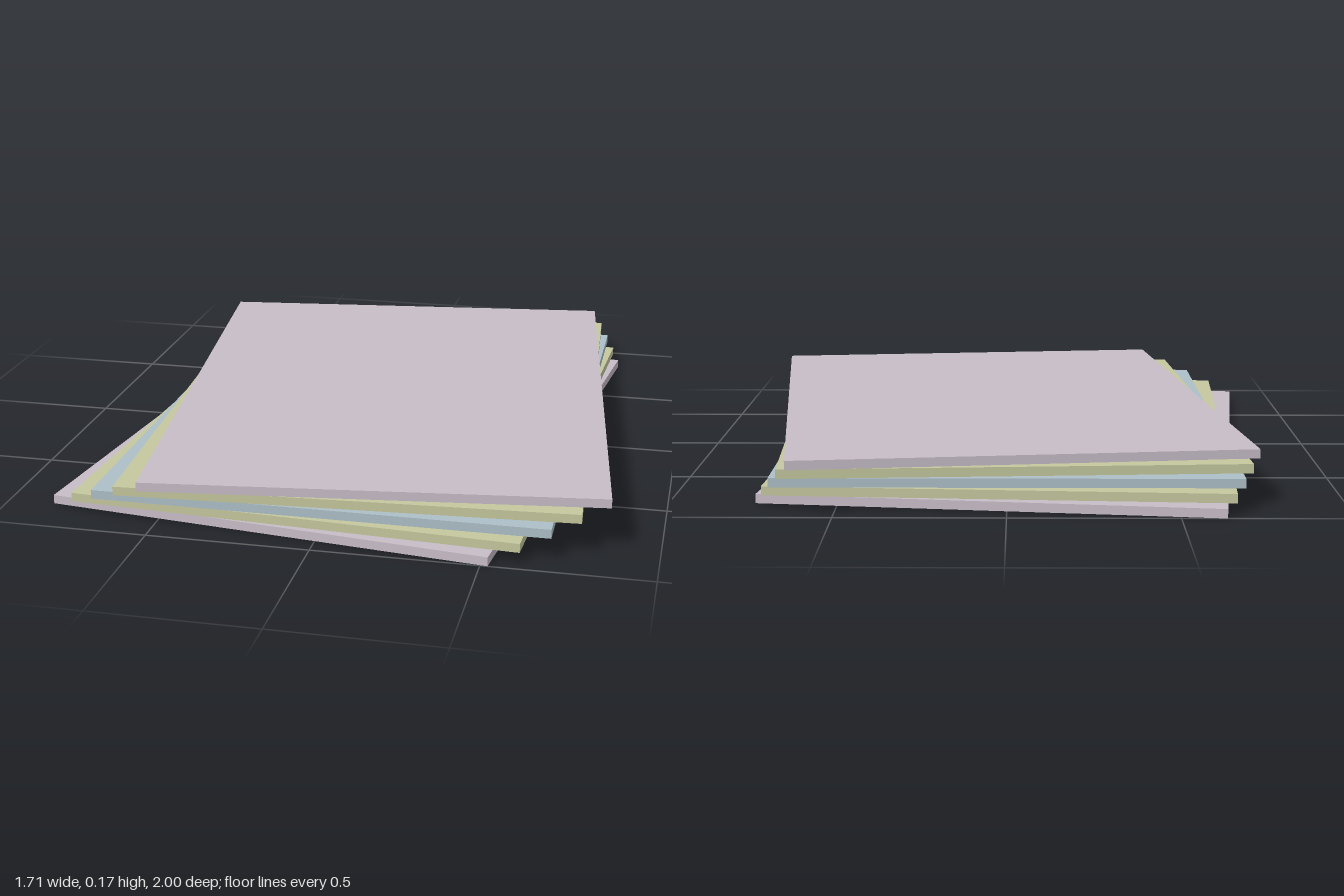
import * as THREE from 'three';

const WIDTH = 1.386, LENGTH = 1.847, THICK = 0.0277, SPACING = 0.0346;
const PIVOT_Z = -0.459; // hinge line of the fan
const STEP = 0.06;      // turn between neighbouring sheets, in radians

export function createModel() {
  const group = new THREE.Group();
  group.name = 'fannedSheets';

  const material = (name, color) => {
    const m = new THREE.MeshStandardMaterial({ color });
    m.name = name;
    return m;
  };
  const mauve = material('pale mauve', 0xc8bdc8);
  const olive = material('pale olive', 0xc5c89e);
  const blue = material('pale blue', 0xadbfc8);

  // one slab, shifted so that it turns about the hinge line
  const slab = new THREE.BoxGeometry(WIDTH, THICK, LENGTH);
  slab.translate(0, THICK / 2, LENGTH / 4);

  // stack of five slabs, each turned a little further than the one below
  const layers = [
    ['bottomSheet', mauve], ['lowerSheet', olive], ['middleSheet', blue],
    ['upperSheet', olive], ['topSheet', mauve],
  ];
  layers.forEach(([name, mat], i) => {
    const sheet = new THREE.Mesh(slab, mat);
    sheet.name = name;
    sheet.position.set(0, i * SPACING, PIVOT_Z);
    sheet.rotation.y = (i - 2) * STEP;
    group.add(sheet);
  });

  return group;
}
